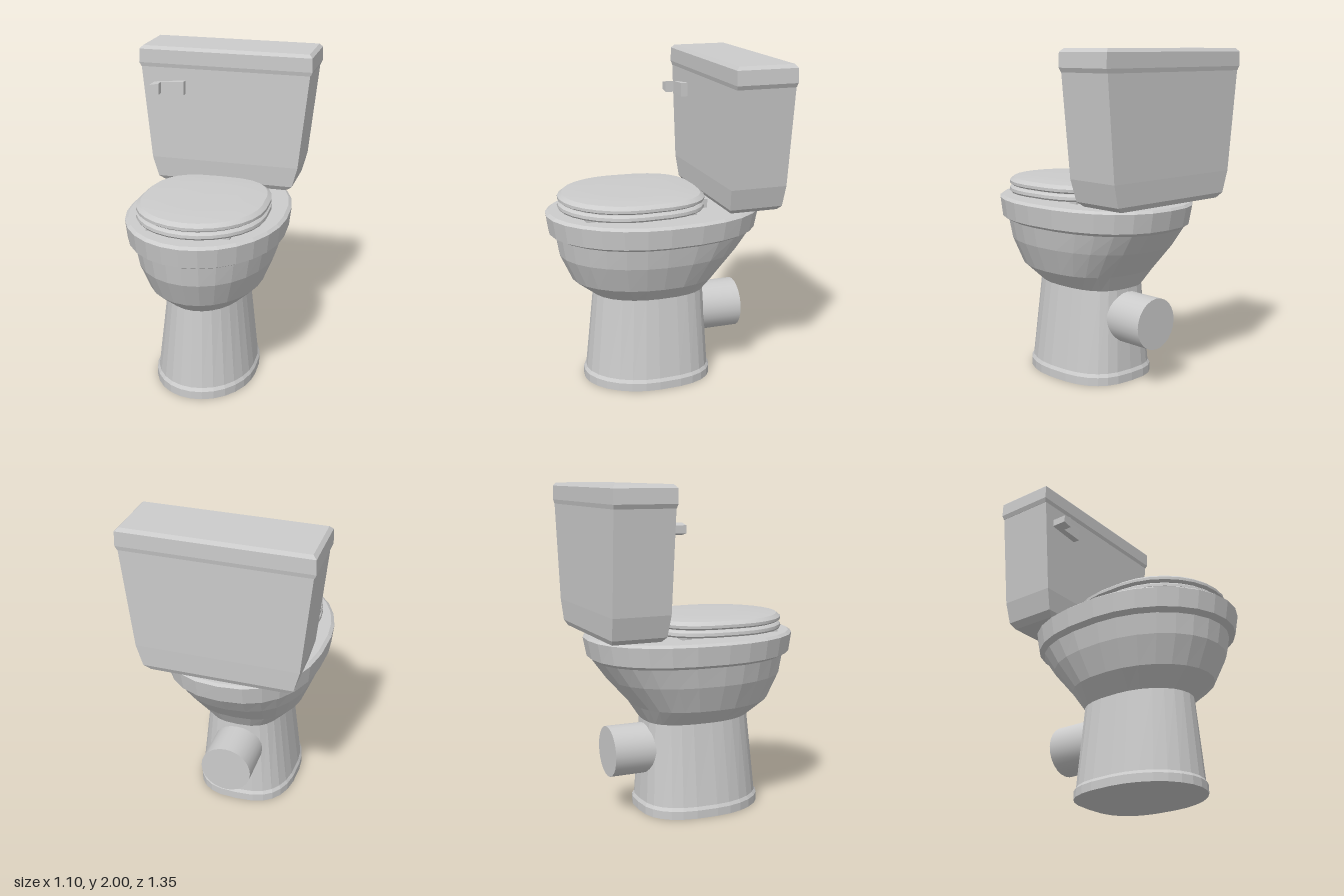
import * as THREE from 'three';
import { toCreasedNormals } from 'three/addons/utils/BufferGeometryUtils.js';

const flat = new THREE.MeshStandardMaterial({ color: 0xcccccc, flatShading: true });
const smooth = new THREE.MeshStandardMaterial({ color: 0xcccccc });

// Joins rings of [x, y, z] points (counter-clockwise from above) into a skin.
function loft(rings, capped = true) {
  const n = rings[0].length;
  const points = rings.flat();
  const index = [];
  for (let i = 0; i < rings.length - 1; i++) {
    for (let j = 0; j < n; j++) {
      const a = i * n + j, b = i * n + (j + 1) % n;
      index.push(a, b, b + n, a, b + n, a + n);
    }
  }
  if (capped) {
    const cap = (ring, first, up) => {
      const zs = ring.map(p => p[2]);
      const c = points.length;
      points.push([0, ring[0][1], (Math.min(...zs) + Math.max(...zs)) / 2]);
      for (let j = 0; j < n; j++) {
        const a = first + j, b = first + (j + 1) % n;
        if (up) index.push(c, a, b);
        else index.push(c, b, a);
      }
    };
    cap(rings[0], 0, false);
    cap(rings[rings.length - 1], (rings.length - 1) * n, true);
  }
  const geometry = new THREE.BufferGeometry();
  geometry.setAttribute('position', new THREE.Float32BufferAttribute(points.flat(), 3));
  geometry.setIndex(index);
  geometry.computeVertexNormals();
  return geometry;
}

// Plan outline: elliptical front, squarer back of power n, widest at z = mid.
function oval([y, halfWidth, front, back, mid, n], segments = 28) {
  return Array.from({ length: segments }, (_, j) => {
    const t = j / segments * Math.PI * 2;
    const s = Math.sin(t), c = Math.cos(t);
    const e = c >= -1e-9 ? 1 : 2 / n;
    const reach = c >= 0 ? front - mid : mid - back;
    return [
      halfWidth * Math.sign(s) * Math.abs(s) ** e, y,
      mid + reach * Math.sign(c) * Math.abs(c) ** e,
    ];
  });
}

// Rectangular outline at one height.
const rect = ([y, x, front, back]) =>
  [[x, y, front], [x, y, back], [-x, y, back], [-x, y, front]];

export function createModel() {
  const group = new THREE.Group();
  const add = (name, geometry, material = flat) => {
    const mesh = new THREE.Mesh(geometry, material);
    mesh.name = name;
    group.add(mesh);
    return mesh;
  };

  // Flared foot with a small lip at the floor
  add('pedestal', loft([
    [0, 0.315, 0.455, -0.34, 0.06, 2.8],
    [0.05, 0.315, 0.455, -0.34, 0.06, 2.8],
    [0.07, 0.303, 0.44, -0.328, 0.06, 2.8],
    [0.575, 0.245, 0.39, -0.3, 0.05, 2.8],
  ].map(s => oval(s))));

  // Bowl outside, overhanging rim, then the basin inside
  add('bowl', loft([
    [0.57, 0.245, 0.39, -0.3, 0.05, 2.8],
    [0.67, 0.35, 0.52, -0.365, 0.05, 2.5],
    [0.83, 0.415, 0.595, -0.51, 0.05, 2.4],
    [0.95, 0.44, 0.615, -0.6, 0.05, 2.4],
    [0.97, 0.475, 0.655, -0.625, 0.05, 2.4],
    [1.085, 0.488, 0.673, -0.648, 0.05, 2.4],
    [1.1, 0.468, 0.652, -0.635, 0.05, 2.4],
    [1.1, 0.28, 0.48, -0.12, 0.16, 2.4],
    [0.95, 0.26, 0.44, -0.1, 0.15, 2.2],
    [0.75, 0.14, 0.26, -0.04, 0.1, 2],
  ].map(s => oval(s))));

  // Seat ring
  const seat = [
    [1.115, 0.26, 0.46, -0.12, 0.18, 2.6],
    [1.115, 0.385, 0.59, -0.265, 0.18, 3],
    [1.125, 0.392, 0.598, -0.275, 0.18, 3],
    [1.143, 0.39, 0.596, -0.272, 0.18, 3],
    [1.155, 0.375, 0.58, -0.26, 0.18, 3],
    [1.155, 0.26, 0.46, -0.12, 0.18, 2.6],
    [1.115, 0.26, 0.46, -0.12, 0.18, 2.6],
  ];
  add('seat', toCreasedNormals(loft(seat.map(s => oval(s)), false), 0.5), smooth);

  // Gently domed lid
  const lid = [
    [1.16, 0.375, 0.58, -0.26, 0.18, 3],
    [1.17, 0.39, 0.596, -0.275, 0.18, 3],
    [1.187, 0.39, 0.596, -0.278, 0.18, 3],
    [1.207, 0.365, 0.57, -0.255, 0.18, 3],
    [1.214, 0.29, 0.48, -0.17, 0.18, 3],
    [1.217, 0.2, 0.38, -0.08, 0.17, 2.8],
  ];
  add('lid', toCreasedNormals(loft(lid.map(s => oval(s))), 0.5), smooth);

  // Small bumpers carrying the seat, and the blocks under the cistern
  for (const side of [-1, 1]) {
    for (const [x, z] of [[0.27, -0.14], [0.22, 0.46]]) {
      add('seatBumper', new THREE.BoxGeometry(0.06, 0.03, 0.06)).position.set(side * x, 1.105, z);
    }
    add('hinge', new THREE.BoxGeometry(0.07, 0.06, 0.07)).position.set(side * 0.14, 1.125, -0.25);
    add('cisternMount', new THREE.CylinderGeometry(0.06, 0.06, 0.06, 12)).position.set(side * 0.2, 1.11, -0.47);
  }

  // Tapered cistern and its cover
  add('cistern', loft([
    [1.12, 0.4, -0.345, -0.64],
    [1.15, 0.44, -0.325, -0.655],
    [1.28, 0.475, -0.313, -0.662],
    [1.88, 0.535, -0.308, -0.67],
  ].map(rect)));
  add('cisternCover', loft([
    [1.87, 0.536, -0.308, -0.67],
    [1.895, 0.548, -0.302, -0.675],
    [1.98, 0.545, -0.302, -0.675],
    [2, 0.525, -0.32, -0.66],
  ].map(rect)));

  // Flush lever: an L-shaped plan whose height narrows towards the tip
  const plan = new THREE.Shape([
    [-0.455, 0.32], [-0.25, 0.32], [-0.25, 0.267], [-0.395, 0.267], [-0.395, 0.215], [-0.455, 0.215],
  ].map(p => new THREE.Vector2(...p)));
  const lever = new THREE.ExtrudeGeometry(plan, { depth: 1, bevelEnabled: false });
  lever.translate(0, 0, -0.5).rotateX(-Math.PI / 2);
  const p = lever.attributes.position;
  for (let i = 0; i < p.count; i++) {
    const x = p.getX(i);
    const height = x < -0.4 ? 0.045 : x < -0.3 ? 0.07 : 0.085;
    p.setY(i, 1.752 + p.getY(i) * height);
  }
  add('flushLever', lever);

  // Waste outlet at the back
  const outlet = new THREE.CylinderGeometry(0.155, 0.155, 0.335, 24).rotateX(Math.PI / 2);
  add('outletPipe', toCreasedNormals(outlet, 0.6), smooth).position.set(0, 0.395, -0.3675);

  return group;
}
